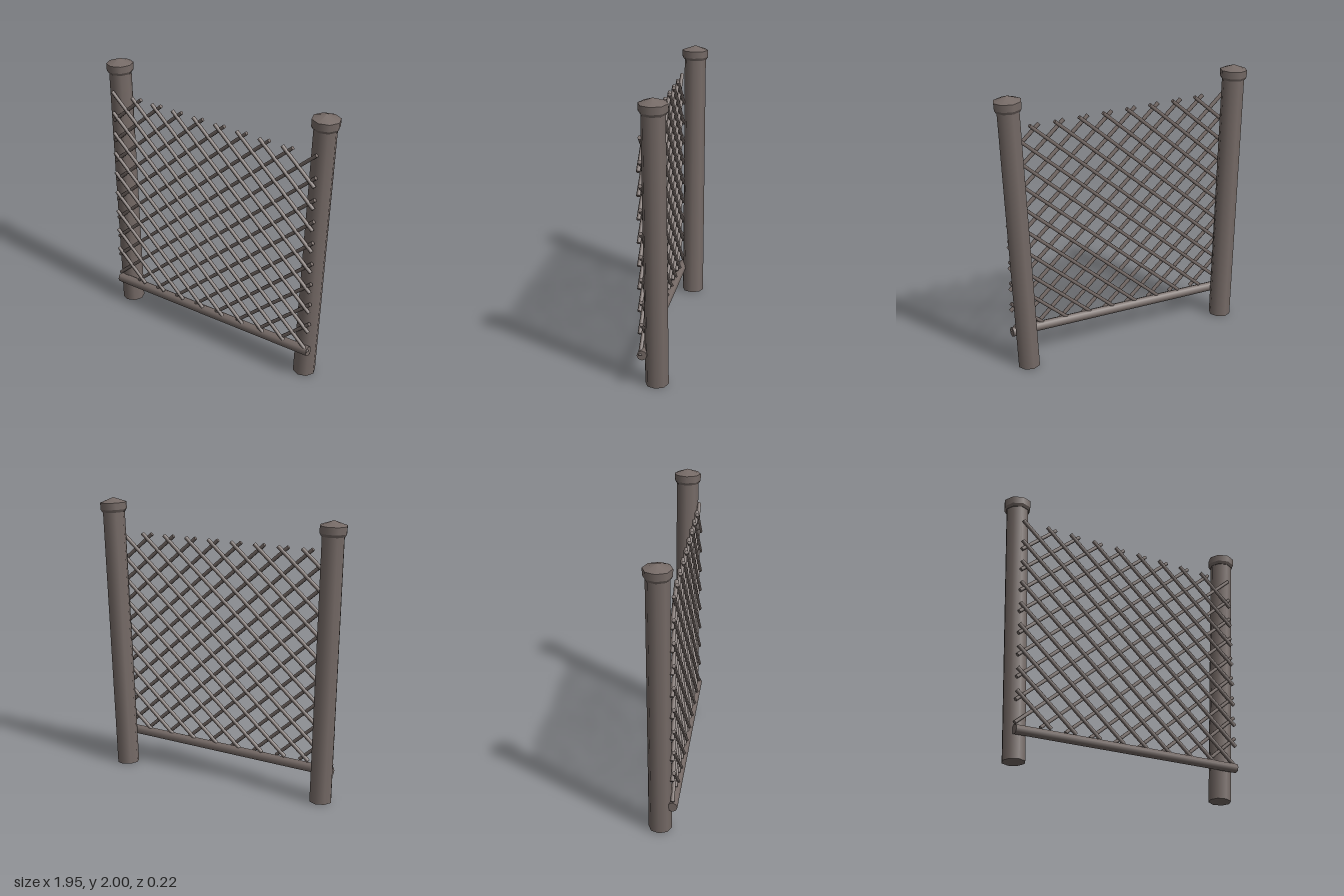
import * as THREE from 'three';

const wood = new THREE.MeshStandardMaterial({ color: 0x756a66 });
wood.name = 'weatheredWood';
const UP = new THREE.Vector3(0, 1, 0);

// Round pole between two points
function pole(name, a, b, radius, sides) {
  const dir = b.clone().sub(a);
  const mesh = new THREE.Mesh(new THREE.CylinderGeometry(radius, radius, dir.length(), sides), wood);
  mesh.position.copy(a).add(b).multiplyScalar(0.5);
  mesh.quaternion.setFromUnitVectors(UP, dir.normalize());
  mesh.name = name;
  return mesh;
}

// Leaning post with a wider collar and a low pointed cap
function post(name, footX, topX, footY, topY) {
  const group = new THREE.Group();
  group.name = name;
  const foot = new THREE.Vector3(footX, footY, -0.01);
  const dir = new THREE.Vector3(topX, topY, -0.01).sub(foot);
  const length = dir.length();
  group.position.copy(foot);
  group.quaternion.setFromUnitVectors(UP, dir.normalize());

  const add = (part, rTop, rBottom, y0, y1) => {
    const mesh = new THREE.Mesh(new THREE.CylinderGeometry(rTop, rBottom, y1 - y0, 8), wood);
    mesh.position.y = (y0 + y1) / 2;
    mesh.name = part;
    group.add(mesh);
  };
  add('shaft', 0.08, 0.08, 0, length - 0.08);
  add('collarBevel', 0.096, 0.084, length - 0.105, length - 0.085);
  add('collar', 0.097, 0.096, length - 0.085, length - 0.035);
  add('capPoint', 0, 0.097, length - 0.035, length);
  return group;
}

export function createModel() {
  const model = new THREE.Group();
  model.name = 'latticeFence';

  model.add(post('rightPost', -0.825, -0.879, 0.005, 1.963));
  model.add(post('leftPost', 0.785, 0.877, 0.003, 2.0));

  model.add(pole('bottomRail',
    new THREE.Vector3(-0.87, 0.195, 0.077), new THREE.Vector3(0.87, 0.24, 0.077), 0.035, 8));

  // Diagonal lattice clipped to a rectangle; the second layer mirrors the first
  const lattice = new THREE.Group();
  lattice.name = 'lattice';
  const half = 0.87, top = 1.74, bottom = 0.24, step = 0.185;
  const slope = (top - bottom) / (2 * half);
  for (const [side, z] of [[1, 0.089], [-1, 0.077]]) {
    for (let k = -8; k <= 8; k++) {
      const x = -half + k * step; // where the slat meets the top line
      const x0 = Math.max(x, -half);
      const x1 = Math.min(x + 2 * half, half);
      const yAt = (px) => top - (px - x) * slope;
      lattice.add(pole('slat',
        new THREE.Vector3(side * x0, yAt(x0), z),
        new THREE.Vector3(side * x1, yAt(x1), z), 0.014, 6));
    }
  }
  model.add(lattice);
  return model;
}
